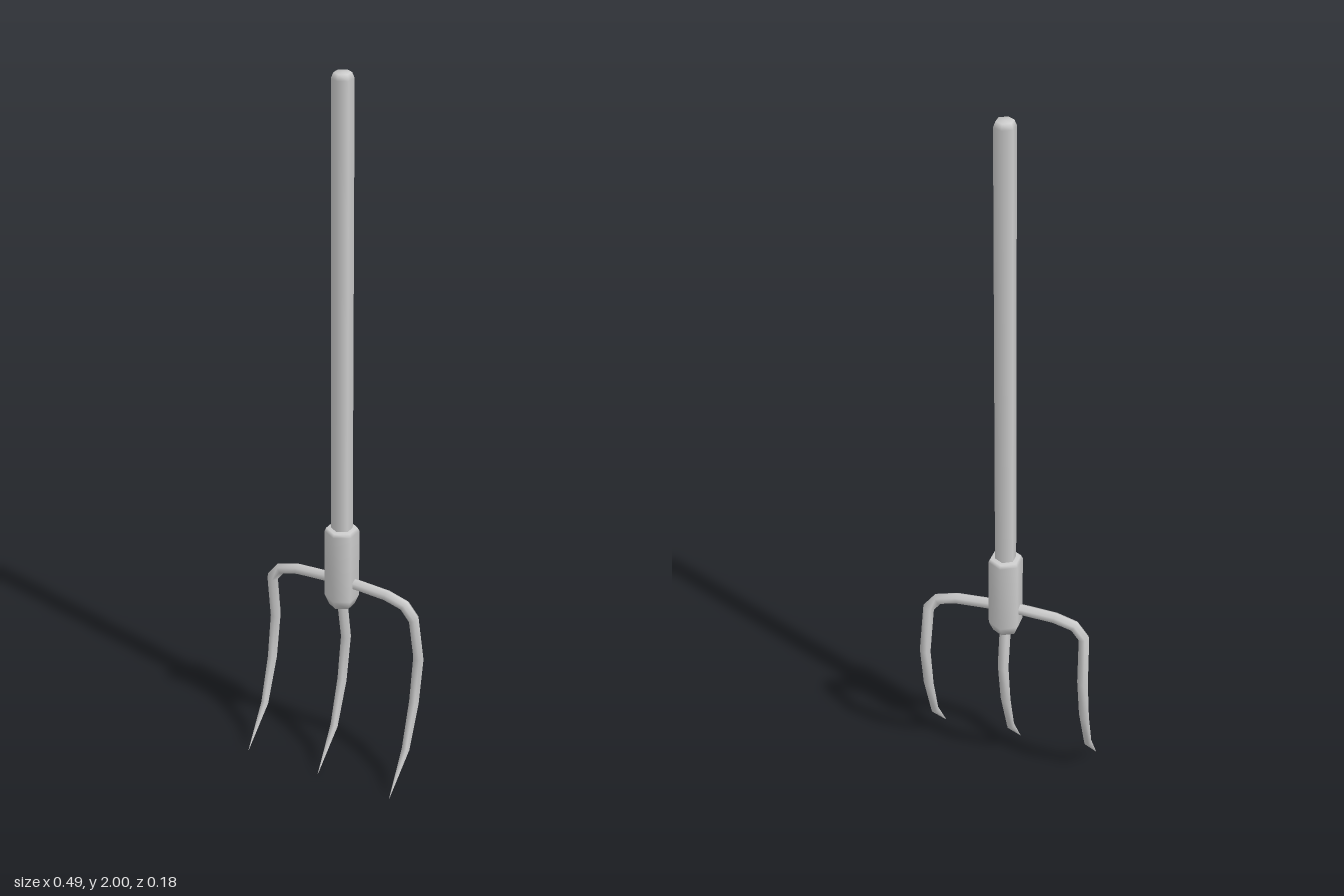
import * as THREE from 'three';

const SIDES = 6;
const AXIS_Z = -0.045;
const material = new THREE.MeshStandardMaterial({ color: 0xcccccc });

// Named mesh
function part(name, geometry) {
  const mesh = new THREE.Mesh(geometry, material);
  mesh.name = name;
  return mesh;
}

// Six-sided turned part around the handle axis, profile as [radius, y] from bottom to top
function turned(name, profile) {
  const mesh = part(name, new THREE.LatheGeometry(profile.map(([r, y]) => new THREE.Vector2(r, y)), SIDES));
  mesh.position.z = AXIS_Z;
  return mesh;
}

// Smooth tapering six-sided bar along a path of [x, y, z, radius]
function taperedBar(path, startNormal) {
  const points = path.map(([x, y, z]) => new THREE.Vector3(x, y, z));
  const last = points.length - 1;
  const normal = startNormal.clone();
  const turn = new THREE.Quaternion();
  const positions = [];
  const indices = [];
  let previous = null;
  points.forEach((p, i) => {
    const tangent = new THREE.Vector3();
    if (i > 0) tangent.add(p.clone().sub(points[i - 1]).normalize());
    if (i < last) tangent.add(points[i + 1].clone().sub(p).normalize());
    tangent.normalize();
    if (previous) normal.applyQuaternion(turn.setFromUnitVectors(previous, tangent));
    normal.addScaledVector(tangent, -normal.dot(tangent)).normalize();
    previous = tangent;
    const binormal = new THREE.Vector3().crossVectors(tangent, normal);
    for (let k = 0; k < SIDES; k++) {
      const a = (k / SIDES) * Math.PI * 2;
      const v = p.clone()
        .addScaledVector(normal, Math.cos(a) * path[i][3])
        .addScaledVector(binormal, Math.sin(a) * path[i][3]);
      positions.push(v.x, v.y, v.z);
      if (i < last) {
        const q = i * SIDES + k;
        const r = i * SIDES + (k + 1) % SIDES;
        indices.push(q, r, q + SIDES, r, r + SIDES, q + SIDES);
      }
    }
  });
  const geometry = new THREE.BufferGeometry();
  geometry.setAttribute('position', new THREE.Float32BufferAttribute(positions, 3));
  geometry.setIndex(indices);
  geometry.computeVertexNormals();
  return geometry;
}

// Shared curve of every tine below the shoulder: [y, z, radius]
const TINE = [
  [0.37, -0.068, 0.0155],
  [0.24, -0.047, 0.0145],
  [0.11, -0.003, 0.0115],
  [0, 0.087, 0.0005],
];

export function createModel() {
  const group = new THREE.Group();
  group.name = 'pitchfork';

  // Long wooden handle with a chamfered end
  group.add(turned('handle', [[0.029, 0.66], [0.029, 1.985], [0.023, 2], [0, 2]]));

  // Socket holding the handle and tines, chamfered at both ends
  group.add(turned('socket', [
    [0, 0.487], [0.035, 0.487], [0.047, 0.515], [0.047, 0.715], [0.042, 0.725], [0, 0.725],
  ]));

  // Centre tine
  const centre = [[0, 0.51, AXIS_Z, 0.016], ...TINE.map(([y, z, r]) => [0, y, z, r])];
  group.add(part('centreTine', taperedBar(centre, new THREE.Vector3(1, 0, 0))));

  // Outer tines, each with its arm and rounded shoulder
  for (const [side, name] of [[1, 'leftTine'], [-1, 'rightTine']]) {
    const path = [
      [0, 0.56, AXIS_Z, 0.016],
      [0.05, 0.56, AXIS_Z, 0.016],
      [0.14, 0.555, AXIS_Z, 0.016],
      [0.195, 0.54, AXIS_Z, 0.016],
      [0.223, 0.505, -0.046, 0.016],
      ...TINE.map(([y, z, r]) => [0.228, y, z, r]),
    ].map(([x, y, z, r]) => [x * side, y, z, r]);
    group.add(part(name, taperedBar(path, new THREE.Vector3(0, 1, 0))));
  }
  return group;
}
